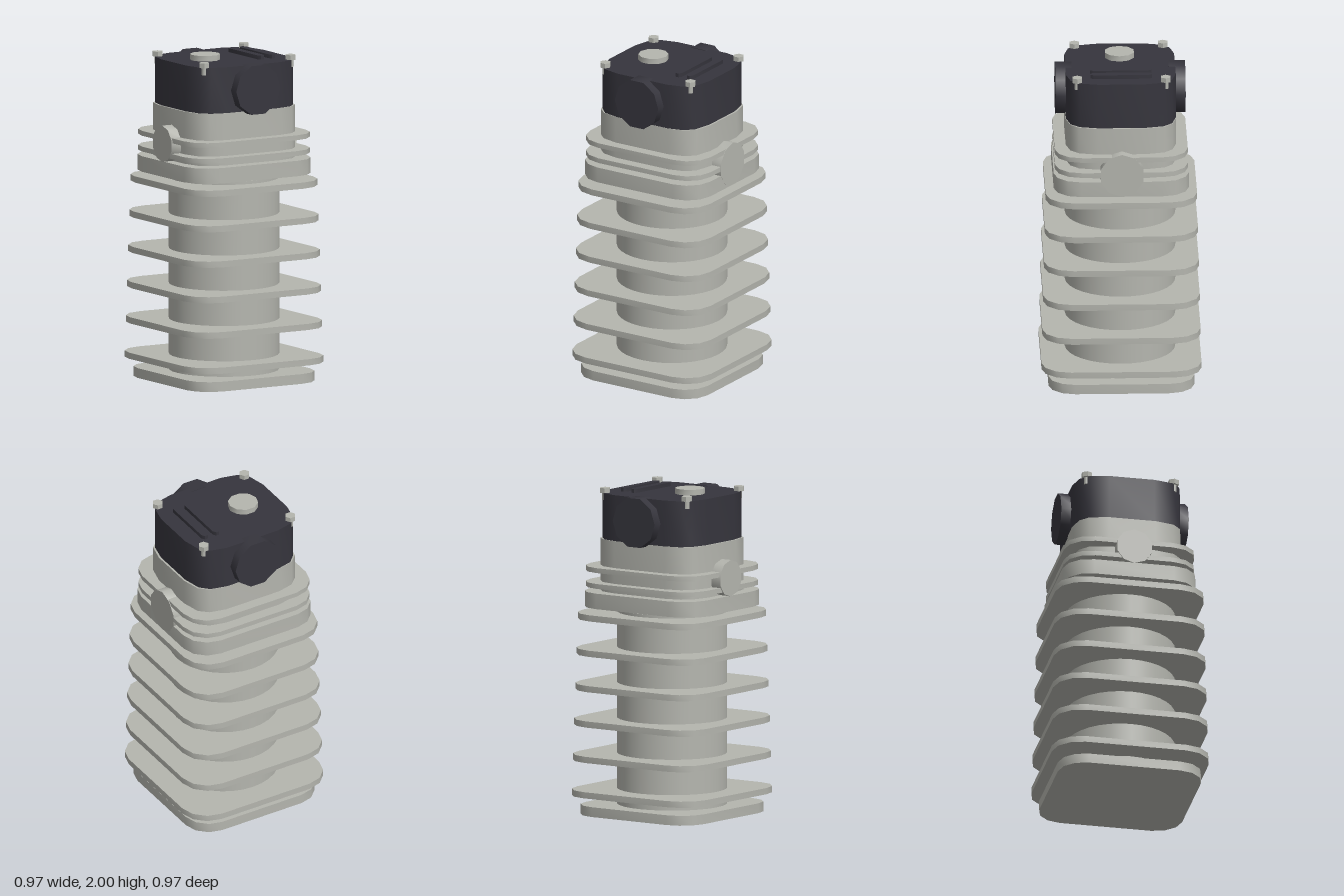
import * as THREE from 'three';
import { toCreasedNormals } from 'three/addons/utils/BufferGeometryUtils.js';

const CREASE = 0.7; // keeps rims sharp and rounded sides smooth

export function createModel() {
  const metal = new THREE.MeshStandardMaterial({ color: 0xb4b5ae });
  metal.name = 'castMetal';
  const dark = new THREE.MeshStandardMaterial({ color: 0x36353d });
  dark.name = 'darkCover';

  const model = new THREE.Group();
  model.name = 'compressorCylinder';

  const add = (name, geometry, material, x = 0, y = 0, z = 0) => {
    const mesh = new THREE.Mesh(toCreasedNormals(geometry, CREASE), material);
    mesh.name = name;
    mesh.position.set(x, y, z);
    model.add(mesh);
    return mesh;
  };

  // Horizontal slab: an (x, z) outline extruded from y0 to y1
  const slab = (name, points, y0, y1, material, x = 0, z = 0) => {
    const shape = new THREE.Shape(points);
    const g = new THREE.ExtrudeGeometry(shape, { depth: y1 - y0, bevelEnabled: false });
    g.rotateX(-Math.PI / 2);
    return add(name, g, material, x, y0, z);
  };

  // Rectangle with three-segment rounded corners
  const rounded = (hx, hz, r) => {
    const pts = [];
    [[1, 1], [-1, 1], [-1, -1], [1, -1]].forEach(([sx, sz], q) => {
      for (let i = 0; i <= 3; i++) {
        const a = (q + i / 3) * Math.PI / 2;
        pts.push(new THREE.Vector2(sx * (hx - r) + r * Math.cos(a), sz * (hz - r) + r * Math.sin(a)));
      }
    });
    return pts;
  };

  // Mirrors one quadrant of an outline into all four
  const mirrored = (quad) => {
    const rev = [...quad].reverse();
    return [
      ...quad,
      ...rev.map(([x, z]) => [-x, z]),
      ...quad.map(([x, z]) => [-x, -z]),
      ...rev.map(([x, z]) => [x, -z]),
    ].map(([x, z]) => new THREE.Vector2(x, z));
  };

  // Barrel with foot and tapering stack of cooling fins
  slab('foot', rounded(0.442, 0.442, 0.16), 0, 0.06, metal);
  add('barrel', new THREE.CylinderGeometry(0.335, 0.335, 1.225, 32), metal, 0, 0.6425, 0);
  for (let i = 0; i < 6; i++) {
    const h = 0.485 - i * 0.0052;
    const y = 0.136 + i * 0.2164;
    slab('coolingFin', rounded(h, h, 0.175), y - 0.019, y + 0.019, metal);
  }

  // Cylinder head: flange, two fins and a bulged core
  slab('headFlange', rounded(0.437, 0.41, 0.165), 1.27, 1.365, metal);
  for (const y of [1.393, 1.49]) slab('headFin', rounded(0.435, 0.403, 0.165), y, y + 0.03, metal);
  slab('headCore', mirrored([[0.373, 0.145], [0.345, 0.26], [0.292, 0.31], [0.19, 0.335]]), 1.36, 1.685, metal);

  // Side ports
  const port = (name, x, y, r) => {
    const g = new THREE.CylinderGeometry(r, r, 0.1, 10);
    g.rotateY(Math.PI / 2); // puts a polygon corner at the top
    g.rotateZ(Math.PI / 2);
    g.rotateX(0);
    g.computeBoundingBox();
    if (g.boundingBox.max.y < r - 0.001) g.rotateX(Math.PI / 10);
    add(name, g, metal, x, y, 0);
  };
  port('leftPort', 0.388, 1.405, 0.135);
  port('rightPort', -0.391, 1.473, 0.112);

  // Dark valve cover
  slab('valveCover', mirrored([[0.361, 0.14], [0.335, 0.255], [0.283, 0.308], [0.18, 0.333]]), 1.685, 1.966, dark);

  // Ten-sided caps on the front and back of the cover
  for (const s of [1, -1]) {
    const g = new THREE.CylinderGeometry(0.157, 0.157, 0.1, 10);
    g.rotateY(Math.PI / 2);
    g.rotateX(Math.PI / 2);
    add(s > 0 ? 'frontCap' : 'backCap', g, dark, 0, 1.82, s * 0.344);
  }

  // Raised ribs on the cover
  for (const x of [0.158, 0.238]) {
    slab('coverRib', mirrored([[0.023, 0.165], [0.01, 0.186]]), 1.96, 1.99, dark, x);
  }

  // Filler cap
  const filler = new THREE.CylinderGeometry(0.092, 0.092, 0.04, 10);
  filler.rotateY(Math.PI / 2);
  add('fillerCap', filler, metal, -0.135, 1.98, 0);

  // Corner bolts
  for (const sx of [1, -1]) {
    for (const sz of [1, -1]) {
      const head = new THREE.CylinderGeometry(0.034, 0.034, 0.03, 6);
      head.rotateY(Math.PI / 2);
      add('boltHead', head, metal, sx * 0.307, 1.98, sz * 0.268);
      add('boltShank', new THREE.CylinderGeometry(0.018, 0.018, 0.05, 10), metal, sx * 0.307, 1.945, sz * 0.268);
    }
  }

  return model;
}
